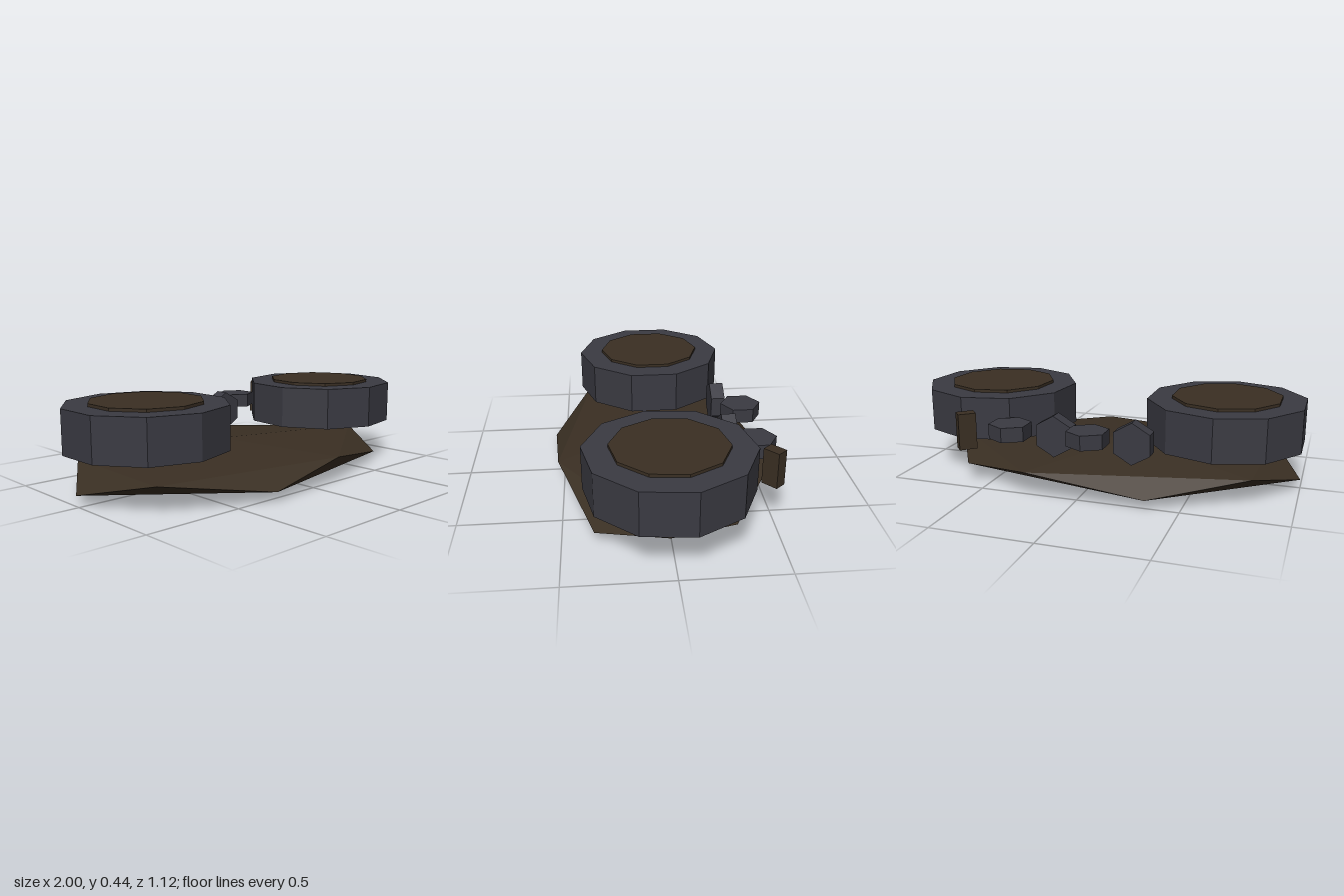
import * as THREE from 'three';
import { ConvexGeometry } from 'three/addons/geometries/ConvexGeometry.js';

export function createModel() {
  const model = new THREE.Group();
  const material = (name, color) => {
    const m = new THREE.MeshStandardMaterial({ color, flatShading: true });
    m.name = name;
    return m;
  };
  const metal = material('dark metal', 0x3a3a42);
  const earth = material('dark brown', 0x3a2f23);

  const add = (name, geometry, mat, x, y, z, parent = model) => {
    const mesh = new THREE.Mesh(geometry, mat);
    mesh.name = name;
    mesh.position.set(x, y, z);
    parent.add(mesh);
    return mesh;
  };

  // Faceted mound: two five-sided rings between a top and a bottom point
  const upper = [[0.88, 0.02], [0.16, 0.525], [-0.83, 0.345], [-0.8, -0.33], [0.25, -0.56]];
  const lower = [[0.69, 0.35], [-0.31, 0.555], [-1, -0.02], [-0.34, -0.53], [0.68, -0.31]];
  const points = [
    new THREE.Vector3(-0.13, 0.187, -0.03),
    new THREE.Vector3(-0.03, 0, 0.02),
    ...upper.map(([x, z]) => new THREE.Vector3(x, 0.132, z)),
    ...lower.map(([x, z]) => new THREE.Vector3(x, 0.05, z)),
  ];
  add('mound', new ConvexGeometry(points), earth, 0, 0, 0);

  // Ten-sided wheels lying flat, each with a brown hub
  const rimGeometry = new THREE.CylinderGeometry(0.4, 0.4, 0.215, 10);
  const hubGeometry = new THREE.CylinderGeometry(0.277, 0.277, 0.244, 10);
  for (const [side, x, turn] of [['right', -0.62, 0], ['left', 0.61, -0.105]]) {
    const wheel = new THREE.Group();
    wheel.name = side + 'Wheel';
    wheel.position.set(x, 0.322, 0);
    wheel.rotation.y = turn;
    add('rim', rimGeometry, metal, 0, 0, 0, wheel);
    add('hub', hubGeometry, earth, 0, 0, 0, wheel);
    model.add(wheel);
  }

  // Loose six-sided nuts, alternately upright and flat
  const nutGeometry = new THREE.CylinderGeometry(0.105, 0.105, 0.073, 6);
  for (const x of [-0.235, 0.163]) {
    add('uprightNut', nutGeometry, metal, x, 0.264, -0.343).rotation.x = Math.PI / 2;
  }
  for (const x of [-0.038, 0.362]) {
    add('flatNut', nutGeometry, metal, x, 0.299, -0.443);
  }

  // Small brown block at the back
  add('block', new THREE.BoxGeometry(0.087, 0.18, 0.06), earth, 0.578, 0.29, -0.487).rotation.y = 0.72;

  return model;
}
